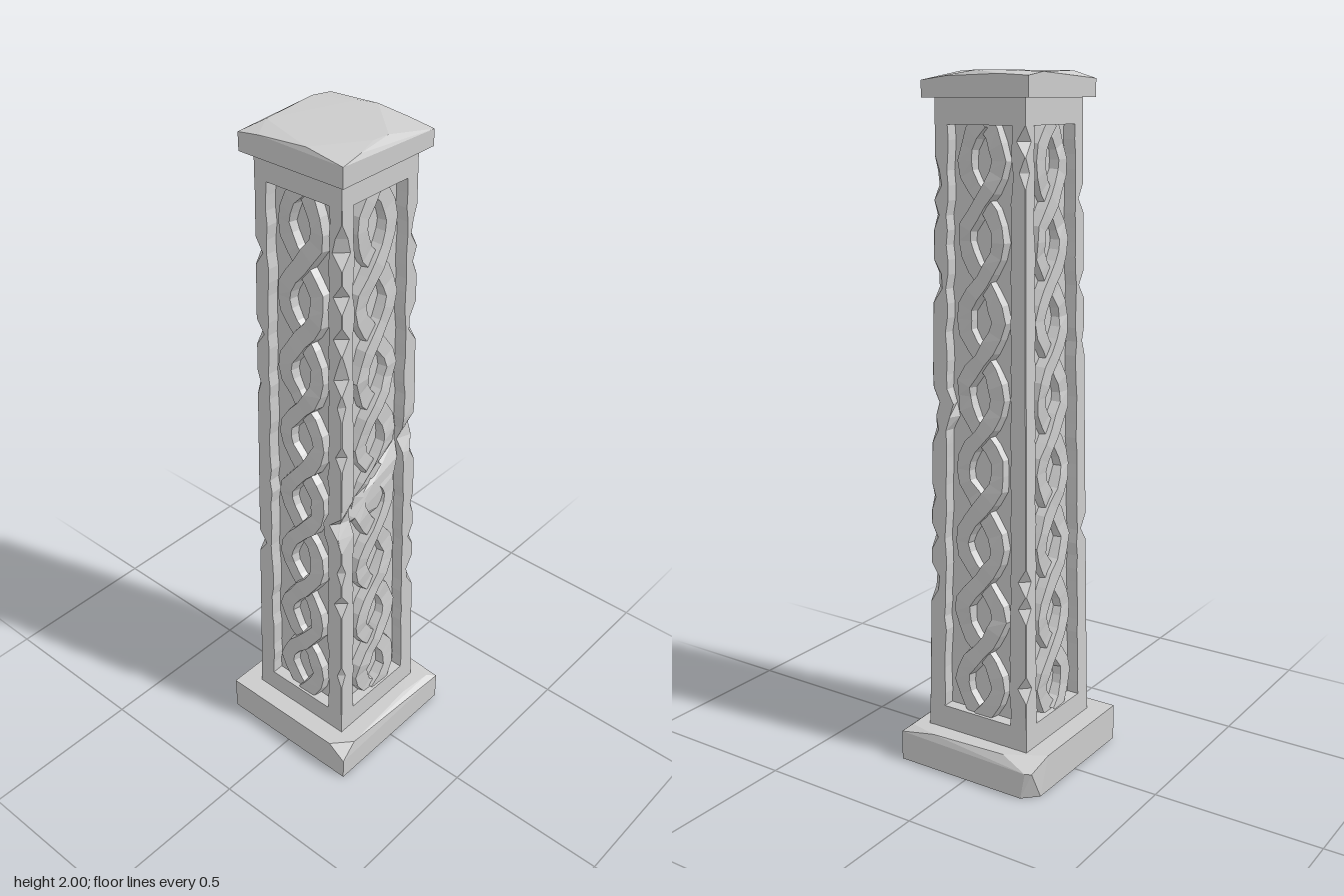
import * as THREE from 'three';
import { ConvexGeometry } from 'three/addons/geometries/ConvexGeometry.js';

const stone = new THREE.MeshStandardMaterial({ color: 0xcccccc, flatShading: true });
const V = (x, y, z) => new THREE.Vector3(x, y, z);

// Seeded noise, 0..1
let seed = 7;
const rand = () => (seed = (seed * 16807) % 2147483647) / 2147483647;
const jitter = (a) => (rand() - 0.5) * 2 * a;

// Shaft taper, panel opening and carving depth
const Y0 = 0.18, Y1 = 1.86, DEPTH = 0.036;
const half = (y) => 0.172 - (y - 0.11) * 0.0155;
const open = (y) => 0.116 - (y - Y0) * 0.0077;

// Skin a list of equal-length rings into a faceted tube
function loft(rings) {
  const pos = [];
  const put = (...vs) => vs.forEach((v) => pos.push(v.x, v.y, v.z));
  for (let i = 0; i < rings.length - 1; i++) {
    const lo = rings[i], hi = rings[i + 1], n = lo.length;
    for (let j = 0; j < n; j++) {
      const k = (j + 1) % n;
      put(lo[j], lo[k], hi[k], lo[j], hi[k], hi[j]);
    }
  }
  const g = new THREE.BufferGeometry();
  g.setAttribute('position', new THREE.Float32BufferAttribute(pos, 3));
  return g;
}

// Diagonal crack pressed into the front
function crack(g) {
  const p = g.attributes.position;
  for (let i = 0; i < p.count; i++) {
    if (p.getZ(i) < 0.1) continue;
    const t = Math.abs(p.getY(i) - (0.99 + 0.65 * p.getX(i))) / 0.055;
    if (t < 1) p.setZ(i, p.getZ(i) - 0.028 * (1 - t));
  }
  g.computeVertexNormals();
  return g;
}

// Solid core: full width at the top and bottom rails, sunk between them
function coreGeometry() {
  const rows = [[0.1, 0], [Y0, 0], [Y0, DEPTH], [Y1, DEPTH], [Y1, 0], [1.94, 0]];
  const g = loft(rows.map(([y, d]) => {
    const h = half(y) - d;
    return [V(-h, y, h), V(h, y, h), V(h, y, -h), V(-h, y, -h)];
  }));
  g.computeVertexNormals();
  return g;
}

// Corner post with chipped outer edge and uneven inner edges
function postGeometry() {
  const rings = [], rows = 42;
  for (let i = 0; i <= rows; i++) {
    const end = i === 0 || i === rows;
    const y = Y0 + ((Y1 - Y0) * i) / rows;
    const h = half(y), b = h - DEPTH;
    const c = end ? 0.001 : rand() > 0.86 ? 0.014 + rand() * 0.018 : 0.002;
    const p = open(y) + (end ? 0 : jitter(0.004)), q = open(y) + (end ? 0 : jitter(0.004));
    rings.push([V(p, y, h), V(h - c, y, h), V(h, y, h - c), V(h, y, q),
      V(b, y, q), V(b, y, b), V(p, y, b)]);
  }
  return loft(rings);
}

// One strand of the interlaced chain carved on a panel
function strandGeometry(side) {
  const rings = [], pitch = 0.214, start = 0.163, per = 6, count = 8 * per;
  for (let i = 0; i <= count; i++) {
    const a = (Math.PI * i) / per, y = start + (pitch * i) / per;
    const s = half(y) / 0.16;
    const x = (side * 0.06 * Math.sin(a) + jitter(0.004)) * s;
    const slope = (side * 0.06 * Math.cos(a) * Math.PI) / pitch;
    const len = Math.hypot(1, slope);
    const top = -0.011 + side * 0.005 * Math.cos(a) + jitter(0.003);
    const yy = THREE.MathUtils.clamp(y, Y0 - 0.01, Y1 + 0.01);
    const at = (w, d) => V(x + (w * s) / len, yy - (w * slope) / len, half(yy) + d);
    const w = 0.023 + jitter(0.003);
    rings.push([at(-w - 0.005, -DEPTH - 0.002), at(-w, top), at(w, top), at(w + 0.005, -DEPTH - 0.002)]);
  }
  return loft(rings);
}

export function createModel() {
  const model = new THREE.Group();
  model.name = 'carvedPillar';
  const add = (name, geometry) => {
    const m = new THREE.Mesh(geometry, stone);
    m.name = name;
    model.add(m);
    return m;
  };

  // Plinth with knocked-off corners and worn upper edges
  const B = 0.232;
  add('plinth', new ConvexGeometry([
    V(-B, 0, B), V(B, 0, B), V(-B, 0, -B), V(0.19, 0, -B), V(B, 0, -0.19),
    V(-B, 0.07, B), V(-B, 0.11, 0.175), V(-0.175, 0.11, B - 0.005),
    V(0.09, 0.11, 0.208), V(0.2, 0.105, 0.215), V(B, 0.09, B), V(0.225, 0.108, 0.12),
    V(0.215, 0.11, -0.12), V(B, 0.08, -0.1), V(B, 0.08, -0.205), V(0.222, 0.08, -0.222),
    V(0.15, 0.11, -B), V(-B, 0.11, -B), V(-0.212, 0.11, -0.05), V(-B, 0.08, -0.03),
  ]));

  add('shaftCore', coreGeometry());

  // Four posts and four carved panels
  const names = ['front', 'left', 'back', 'right'];
  names.forEach((name, k) => {
    const turn = (k * Math.PI) / 2;
    add(name + 'CornerPost', crack(postGeometry().rotateY(turn)));
    for (const side of [-1, 1])
      add(name + (side < 0 ? 'ChainStrandA' : 'ChainStrandB'), crack(strandGeometry(side).rotateY(turn)));
  });

  // Sloping remnant of stone below the crack
  add('crackLedge', new ConvexGeometry([
    V(-0.112, 0.87, 0.12), V(-0.112, 0.92, 0.12), V(0.112, 1.06, 0.12), V(0.112, 0.95, 0.12),
    V(0.02, 0.84, 0.12), V(-0.08, 0.89, 0.139), V(0.0, 0.97, 0.14), V(0.1, 1.01, 0.142),
    V(0.08, 0.95, 0.145), V(0.02, 0.87, 0.138),
  ]));

  // Cap slab with chipped rim
  const C = 0.17;
  add('cap', new ConvexGeometry([
    V(-C, 1.93, C), V(C, 1.93, C), V(C, 1.93, -C), V(-C, 1.93, -C),
    V(-C, 1.985, C), V(-0.1, 1.995, 0.163), V(-0.03, 2, 0.143), V(0.02, 2, 0.147),
    V(C, 1.975, C), V(C, 1.985, 0.09), V(0.158, 2, 0), V(0.14, 2, -0.055),
    V(C, 1.99, -0.08), V(C, 1.985, -C), V(-0.1, 2, -0.14), V(0.1, 1.995, -C),
    V(-C, 1.98, -C), V(-C, 1.99, -0.1), V(-0.165, 2, 0.05),
  ]));

  return model;
}
